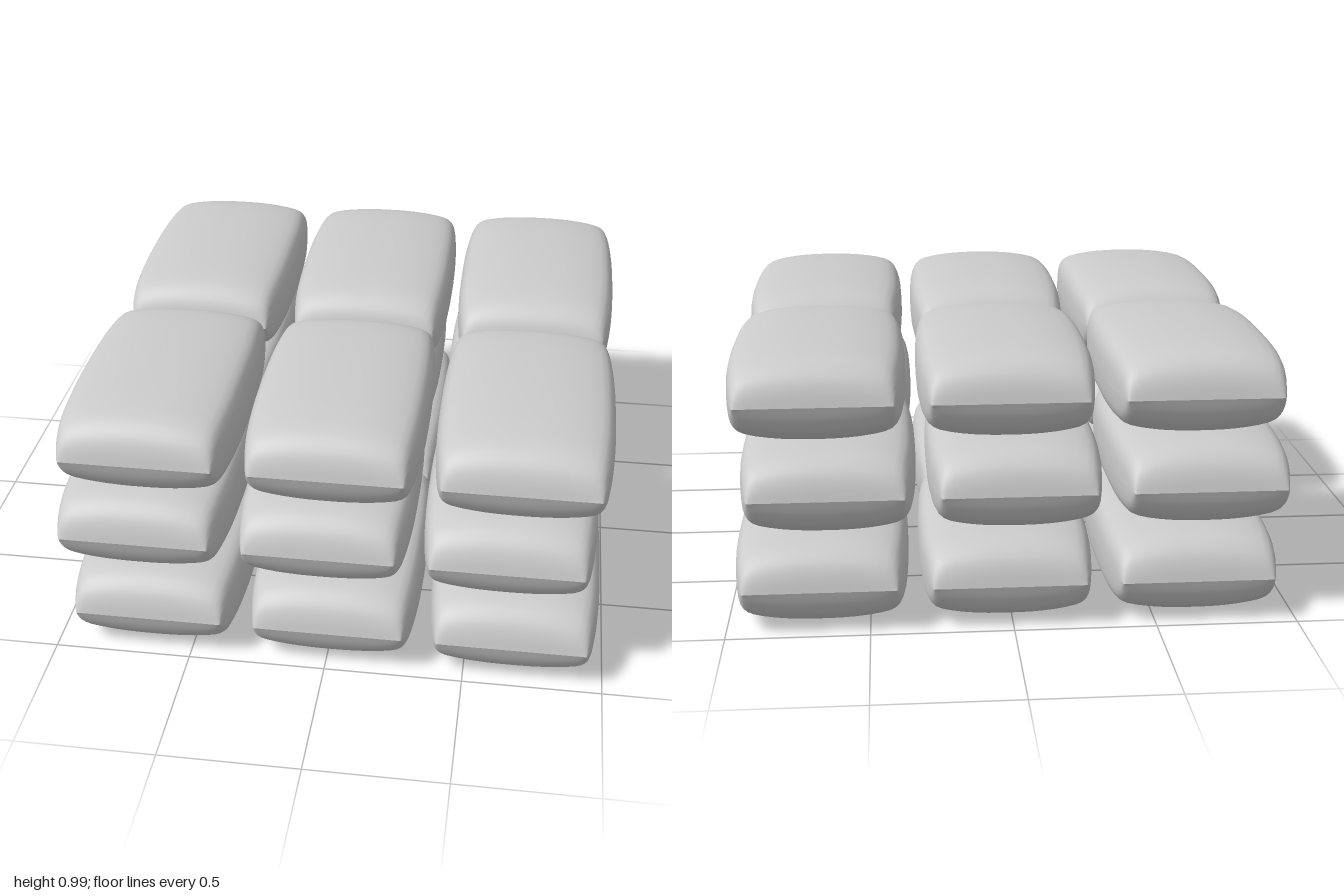
import * as THREE from 'three';
import { mergeGeometries } from 'three/addons/utils/BufferGeometryUtils.js';

const v2 = (a) => a.map(([x, y]) => new THREE.Vector2(x, y));
const HALF_LENGTH = 0.491;

// Cross-section of the upper half, as fractions of half-width and half-height
const halfProfile = [[1, 0], [0.99, 0.38], [0.94, 0.66], [0.82, 0.83], [0.55, 0.94], [0.27, 0.99]];
const profile = new THREE.SplineCurve(v2([
  ...halfProfile.map(([x, y]) => [-x, y]), [0, 1], ...halfProfile.slice().reverse(),
])).getPoints(24);

// Half-width and half-height at distances from the sewn end
const halfStations = [
  [0, 0.265, 0], [0.015, 0.272, 0.052], [0.04, 0.279, 0.098], [0.09, 0.289, 0.136],
  [0.18, 0.3, 0.152], [0.32, 0.308, 0.16],
];
const stations = new THREE.CatmullRomCurve3([
  ...halfStations.map(([d, w, h]) => new THREE.Vector3(d - HALF_LENGTH, w, h)),
  new THREE.Vector3(0, 0.31, 0.163),
  ...halfStations.slice().reverse().map(([d, w, h]) => new THREE.Vector3(HALF_LENGTH - d, w, h)),
]).getPoints(36);

// One pillow-shaped sack: a bulged upper half and its mirror, meeting in a sharp seam
function sackGeometry() {
  const cols = profile.length, rows = stations.length;
  const upper = new THREE.PlaneGeometry(2, 2, cols - 1, rows - 1);
  const pos = upper.attributes.position;
  for (let i = 0; i < pos.count; i++) {
    const p = profile[i % cols];
    const s = stations[Math.floor(i / cols)];
    pos.setXYZ(i, p.x * s.y, p.y * s.z, s.x);
  }
  upper.computeVertexNormals();
  return mergeGeometries([upper, upper.clone().rotateZ(Math.PI)]);
}

export function createModel() {
  const group = new THREE.Group();
  group.name = 'sackStack';
  const geometry = sackGeometry();
  const material = new THREE.MeshStandardMaterial({ color: 0xcccccc });

  // Three layers of three by two sacks, the middle layer shifted sideways
  for (let layer = 0; layer < 3; layer++) {
    const shift = layer === 1 ? -0.019 : 0.012;
    for (let column = -1; column <= 1; column++) {
      for (const end of [-1, 1]) {
        const sack = new THREE.Mesh(geometry, material);
        sack.name = `sackLayer${layer + 1}Column${column + 2}${end > 0 ? 'Front' : 'Back'}`;
        sack.position.set(column * 0.657 + shift, 0.167 + layer * 0.3305, end * 0.509);
        group.add(sack);
      }
    }
  }
  return group;
}
